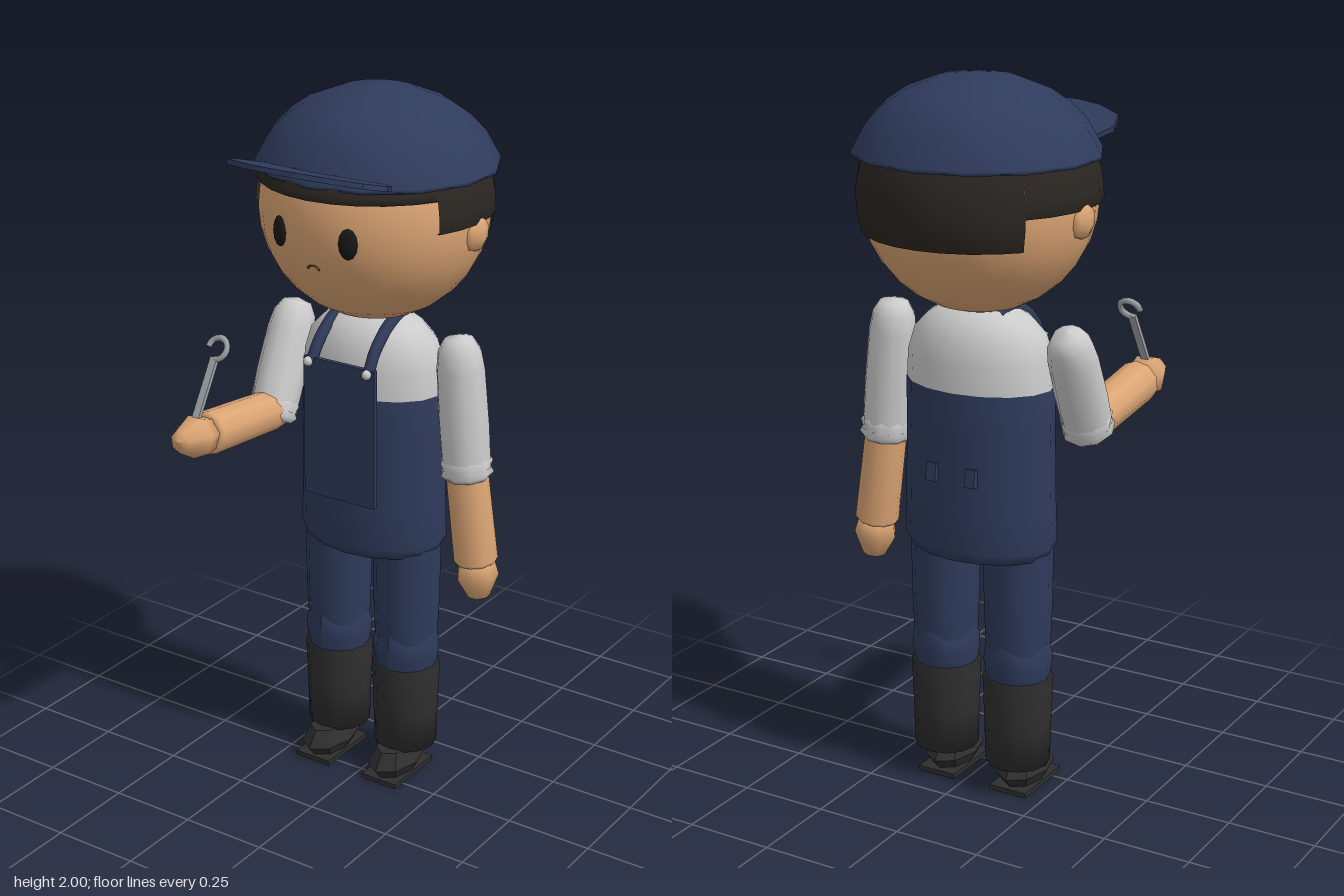
import * as THREE from 'three';

const SKIN = 0xdca574, NAVY = 0x2f3b5c, SHIRT = 0xcccccc, HAIR = 0x2b2622, BOOT = 0x2e2e2e, STEEL = 0xa0a4a8;
const CX = -0.03, CZ = -0.11; // body axis
const V = (x, y, z) => new THREE.Vector3(x, y, z);

export function createModel() {
  const model = new THREE.Group();
  model.name = 'worker';

  const add = (name, geo, color, pos = [0, 0, 0], flat = false) => {
    const mat = new THREE.MeshStandardMaterial({ color, flatShading: flat, side: THREE.DoubleSide });
    const mesh = new THREE.Mesh(geo, mat);
    mesh.name = name;
    mesh.position.set(...pos);
    model.add(mesh);
    return mesh;
  };
  // profile is a list of [radius, height], bottom to top
  const lathe = (profile, sides, start = 0, length = Math.PI * 2) =>
    new THREE.LatheGeometry(profile.map(([r, y]) => new THREE.Vector2(r, y)), sides, start, length);
  // limb from a to b; profile is a list of [radius, distance from a]
  const limb = (name, a, b, profile, color, sides = 10) => {
    const mesh = add(name, lathe(profile, sides), color, a.toArray());
    mesh.quaternion.setFromUnitVectors(V(0, 1, 0), b.clone().sub(a).normalize());
    return mesh;
  };

  // Head
  const headR = y => 0.315 * Math.sqrt(Math.max(0, 1 - ((y - 1.68) / 0.31) ** 2));
  const head = add('head', new THREE.SphereGeometry(1, 28, 16), SKIN, [CX, 1.68, CZ]);
  head.scale.set(0.315, 0.31, 0.305);

  // Hair: a shell in stepped lengths, short in front and long at the back
  const step = Math.PI / 14;
  const hair = (name, bottom, from, count) => {
    const profile = [[headR(bottom) - 0.005, bottom]];
    for (let i = 0; i <= 4; i++) {
      const y = bottom + (1.83 - bottom) * i / 4;
      profile.push([headR(y) + 0.009, y]);
    }
    add(name, lathe(profile, count, from * step, count * step), HAIR, [CX, 0, CZ]);
  };
  hair('fringe', 1.76, -5, 10);
  hair('hairLeft', 1.675, 5, 5);
  hair('hairRight', 1.675, 18, 5);
  hair('hairBack', 1.59, 10, 8);

  // Face and ears
  for (const s of [-1, 1]) {
    const eye = add('eye', new THREE.SphereGeometry(1, 8, 6), 0x181818, [CX + s * 0.107, 1.655, 0.175]);
    eye.scale.set(0.026, 0.042, 0.012);
    eye.rotation.y = s * 0.35;
    const ear = add('ear', new THREE.SphereGeometry(1, 6, 5), SKIN, [CX + s * 0.308, 1.645, -0.12]);
    ear.scale.set(0.03, 0.05, 0.05);
  }
  add('mouth', new THREE.TorusGeometry(0.017, 0.004, 4, 8, Math.PI), 0x6b4630, [CX, 1.57, 0.177]).scale.y = 0.6;

  // Cap dome and upturned peak
  const dome = [[0, 1.83], [0.27, 1.82], [0.327, 1.79], [0.327, 1.8], [0.288, 1.87],
    [0.245, 1.915], [0.19, 1.953], [0.1, 1.988], [0, 2]];
  const cap = add('cap', lathe(dome, 14), NAVY, [CX, 0, -0.122]);
  cap.scale.set(1.02, 1, 0.975);
  const half = [[0.21, 0], [0.236, 0.06], [0.21, 0.135], [0.13, 0.183], [0.05, 0.205]];
  const outline = [...half, ...half.map(([x, z]) => [-x, z]).reverse()];
  const peakShape = new THREE.Shape(outline.map(([x, z]) => new THREE.Vector2(x, z)));
  const peak = add('capPeak', new THREE.ExtrudeGeometry(peakShape, { depth: 0.014, bevelEnabled: false }),
    NAVY, [CX, 1.815, 0.128], true);
  peak.rotation.x = Math.PI / 2 - 0.27;

  // Torso: shirt above, overalls below
  const torso = (name, profile, color) => {
    add(name, lathe(profile, 16), color, [CX, 0, -0.107]).scale.z = 0.71;
  };
  torso('shirt', [[0.213, 1.16], [0.208, 1.25], [0.188, 1.315], [0.15, 1.355], [0.1, 1.385], [0, 1.4]], SHIRT);
  torso('overalls', [[0, 0.71], [0.12, 0.7], [0.205, 0.705], [0.222, 0.735], [0.218, 0.85],
    [0.214, 1.05], [0.214, 1.175], [0.2, 1.175]], NAVY);

  // Bib, straps and buttons
  add('bib', new THREE.BoxGeometry(0.23, 0.4, 0.014), NAVY, [CX, 1.075, 0.058]);
  for (const s of [-1, 1]) {
    const path = new THREE.CatmullRomCurve3([
      V(CX + s * 0.093, 1.26, 0.06), V(CX + s * 0.09, 1.315, 0.025),
      V(CX + s * 0.088, 1.365, -0.04), V(CX + s * 0.085, 1.385, -0.11), V(CX + s * 0.08, 1.37, -0.15)]);
    add('strap', new THREE.TubeGeometry(path, 10, 0.018, 6), NAVY);
    add('strapButton', new THREE.SphereGeometry(0.014, 8, 6), SHIRT, [CX + s * 0.095, 1.265, 0.072]);
    // Small tabs on the back of the waist
    const tab = add('backTab', new THREE.BoxGeometry(0.03, 0.05, 0.018), NAVY, [CX + s * 0.06, 0.95, -0.257], true);
    tab.rotation.x = 0.15;
  }
  add('shirtButton', new THREE.SphereGeometry(0.007, 6, 4), 0x777777, [CX, 1.3, 0.022]);

  // Legs, rumpled trouser hems, boots and shoes
  for (const s of [-1, 1]) {
    const x = CX + s * 0.116, z = -0.102;
    add('trouserLeg', lathe([[0.085, 0.33], [0.09, 0.45], [0.094, 0.55], [0.096, 0.74]], 12), NAVY, [x, 0, z]);
    const hem = lathe([[0.088, 0.34], [0.095, 0.385], [0.094, 0.425], [0.083, 0.45]], 12);
    const p = hem.attributes.position;
    for (let i = 0; i < p.count; i++) {
      if (p.getY(i) > 0.4) p.setY(i, p.getY(i) + 0.018 * Math.cos(4 * Math.atan2(p.getX(i), p.getZ(i))));
    }
    hem.computeVertexNormals();
    add('trouserHem', hem, NAVY, [x, 0, z]);
    add('bootShaft', lathe([[0, 0.085], [0.09, 0.085], [0.093, 0.2], [0.098, 0.345], [0.08, 0.345], [0, 0.34]], 12),
      BOOT, [x, 0, z], false);
    const foot = add('foot', lathe([[0, 0.012], [0.75, 0.012], [1, 0.045], [0.7, 0.09], [0, 0.092]], 8),
      BOOT, [x, 0, -0.057], true);
    foot.scale.set(0.068, 1, 0.113);
    add('sole', new THREE.BoxGeometry(0.115, 0.014, 0.2), BOOT, [x, 0.007, -0.06], true);
  }

  // Arms: sleeve, rolled cuff, forearm and hand, for given joints
  const arm = (side, shoulder, elbow, wrist, fingertip) => {
    const up = shoulder.distanceTo(elbow), low = elbow.distanceTo(wrist), tip = wrist.distanceTo(fingertip);
    limb('sleeve' + side, shoulder, elbow, [[0, -0.065], [0.04, -0.055], [0.06, -0.02], [0.067, 0.03],
      [0.07, up * 0.6], [0.068, up]], SHIRT);
    limb('cuff' + side, shoulder, elbow, [[0.062, up - 0.035], [0.073, up - 0.02], [0.066, up],
      [0.074, up + 0.015], [0.06, up + 0.03], [0, up + 0.03]], SHIRT, 9);
    limb('forearm' + side, elbow, wrist, [[0, -0.03], [0.05, -0.03], [0.058, 0.02],
      [0.061, low], [0.05, low + 0.01], [0, low + 0.01]], SKIN);
    limb('hand' + side, wrist, fingertip, [[0, -0.005], [0.05, 0], [0.06, tip * 0.4], [0.032, tip * 0.9],
      [0, tip]], SKIN, 7);
  };
  arm('Left', V(0.25, 1.3, -0.1), V(0.277, 0.99, -0.1), V(0.31, 0.72, -0.105), V(0.322, 0.6, -0.107));
  arm('Right', V(-0.305, 1.295, -0.11), V(-0.298, 1.065, 0.0), V(-0.288, 1.1, 0.315), V(-0.288, 1.115, 0.44));

  // Open-ended wrench held in the right hand
  const wrench = new THREE.Group();
  wrench.name = 'wrench';
  const shaft = add('wrenchShaft', new THREE.BoxGeometry(0.022, 0.2, 0.012), STEEL, [0, 0.1, 0], true);
  const hook = add('wrenchHook', new THREE.TorusGeometry(0.03, 0.009, 6, 12, Math.PI * 1.5), STEEL, [0, 0.225, 0]);
  hook.rotation.z = -Math.PI / 2;
  wrench.add(shaft, hook);
  wrench.position.set(-0.29, 1.13, 0.37);
  wrench.rotation.x = -0.54;
  model.add(wrench);

  return model;
}
